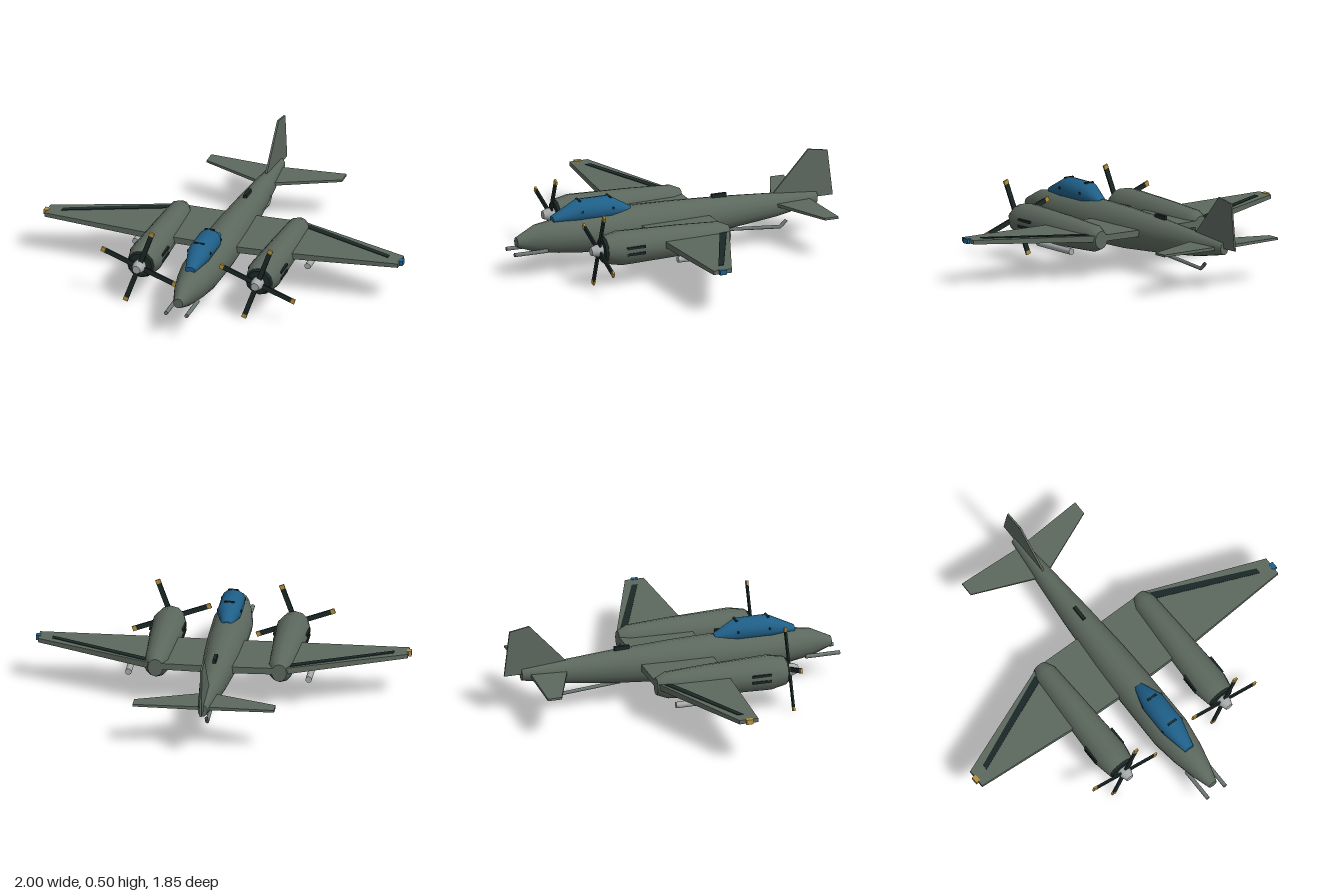
import * as THREE from 'three';

const mat = (name, color) => Object.assign(new THREE.MeshStandardMaterial({ color }), { name });

// Skins a list of rings (counter-clockwise seen from the last ring) and caps both ends.
function loft(rings, flat = false) {
  const n = rings[0].length, pos = [], idx = [];
  rings.forEach(r => r.forEach(p => pos.push(...p)));
  for (let i = 0; i < rings.length - 1; i++)
    for (let j = 0; j < n; j++) {
      const a = i * n + j, b = i * n + (j + 1) % n;
      idx.push(a, b, b + n, a, b + n, a + n);
    }
  [rings[0], rings[rings.length - 1]].forEach((r, end) => {
    const s = pos.length / 3;
    r.forEach(p => pos.push(...p));
    for (let j = 1; j < n - 1; j++) end ? idx.push(s, s + j, s + j + 1) : idx.push(s, s + j + 1, s + j);
  });
  let g = new THREE.BufferGeometry();
  g.setAttribute('position', new THREE.Float32BufferAttribute(pos, 3));
  g.setIndex(idx);
  if (flat) g = g.toNonIndexed();
  g.computeVertexNormals();
  return g;
}

// Oval body along z; each section is [z, bottom, top, halfWidth].
const body = (sections, sides) => loft(sections.map(([z, lo, hi, w]) =>
  Array.from({ length: sides }, (_, k) => {
    const t = (k / sides) * Math.PI * 2 + Math.PI / 2;
    return [Math.cos(t) * w, (lo + hi) / 2 + Math.sin(t) * (hi - lo) / 2, z];
  })));

// Mirrored flat surface; each station is [x, frontZ, backZ, y, halfThickness].
function wingGeometry(half) {
  const all = [...half.slice(1).reverse().map(([x, ...r]) => [-x, ...r]), ...half];
  return loft(all.map(([x, f, b, y, t]) => [[x, y + t, b], [x, y + t, f], [x, y - t, f], [x, y - t, b]]), true);
}

export function createModel() {
  const green = mat('greyGreenPaint', 0x5c685e);
  const blue = mat('blueGlass', 0x1f5f88);
  const dark = mat('darkTrim', 0x1b2826);
  const yellow = mat('yellowTip', 0xb8923a);
  const silver = mat('lightMetal', 0xa6aaaa);
  const steel = mat('dullMetal', 0x6c7672);

  const model = new THREE.Group();
  model.name = 'twinPropellerAircraft';
  const add = (name, geometry, material, x = 0, y = 0, z = 0, parent = model) => {
    const m = new THREE.Mesh(geometry, material);
    m.name = name;
    m.position.set(x, y, z);
    parent.add(m);
    return m;
  };
  const box = (w, h, d) => new THREE.BoxGeometry(w, h, d);
  const rod = (front, back, length, sides = 12) =>
    new THREE.CylinderGeometry(front, back, length, sides).rotateX(Math.PI / 2);

  // Fuselage and canopy
  add('fuselage', body([
    [-0.83, 0.2, 0.265, 0.025], [-0.6, 0.155, 0.285, 0.05], [-0.3, 0.12, 0.305, 0.076],
    [0, 0.095, 0.318, 0.097], [0.2, 0.09, 0.322, 0.104], [0.52, 0.103, 0.315, 0.107],
    [0.66, 0.117, 0.302, 0.087], [0.78, 0.135, 0.285, 0.06], [0.89, 0.175, 0.228, 0.026],
  ], 16), green);
  add('canopy', body([
    [0.24, 0.285, 0.325, 0.025], [0.36, 0.27, 0.396, 0.064],
    [0.54, 0.27, 0.396, 0.064], [0.685, 0.285, 0.32, 0.028],
  ], 14), blue);
  for (const z of [0.36, 0.535]) {
    add('canopyFrameTop', box(0.055, 0.008, 0.012), dark, 0, 0.392, z);
    for (const s of [-1, 1]) add('canopyFrameSide', box(0.008, 0.012, 0.012), dark, s * 0.062, 0.342, z);
  }
  add('dorsalFairing', box(0.018, 0.03, 0.085), dark, 0, 0.309, -0.272);

  // Wings and tail surfaces
  add('wing', wingGeometry([[0, 0.21, -0.187, 0.218, 0.018], [0.35, 0.205, -0.187, 0.223, 0.017],
    [0.985, 0.17, 0.066, 0.242, 0.011]]), green);
  add('tailplane', wingGeometry([[0, -0.57, -0.782, 0.228, 0.009], [0.377, -0.725, -0.802, 0.236, 0.006]]), green);
  const fin = new THREE.Shape([[0.575, 0.275], [0.785, 0.505], [0.895, 0.486], [0.925, 0.235], [0.7, 0.235]]
    .map(([a, b]) => new THREE.Vector2(a, b)));
  add('tailFin', new THREE.ExtrudeGeometry(fin, { depth: 0.01, bevelEnabled: false })
    .translate(0, 0, -0.005).rotateY(Math.PI / 2), green);

  // Tail hook
  const hook = new THREE.CurvePath();
  const hookPoints = [[0.12, -0.28], [0.092, -0.625], [0.125, -0.66]].map(([y, z]) => new THREE.Vector3(0, y, z));
  hook.add(new THREE.LineCurve3(hookPoints[0], hookPoints[1]));
  hook.add(new THREE.LineCurve3(hookPoints[1], hookPoints[2]));
  add('tailHook', new THREE.TubeGeometry(hook, 24, 0.01, 8), steel).material.side = THREE.DoubleSide;

  // Engine nacelle profile, shared by both sides
  const nacelleGeo = body([
    [-0.187, 0.165, 0.262, 0.04], [-0.13, 0.142, 0.288, 0.066], [0.1, 0.128, 0.3, 0.078],
    [0.44, 0.12, 0.309, 0.093], [0.525, 0.138, 0.291, 0.077],
  ], 12);

  for (const s of [-1, 1]) {
    const engine = new THREE.Group();
    engine.name = s > 0 ? 'leftEngine' : 'rightEngine';
    engine.position.x = s * 0.33;
    model.add(engine);
    add('nacelle', nacelleGeo, green, 0, 0, 0, engine);
    add('engineFace', rod(0.066, 0.075, 0.018, 12), dark, 0, 0.2145, 0.529, engine);
    for (const side of [-1, 1]) for (const y of [0.2, 0.234])
      add('exhaustSlot', box(0.02, 0.013, 0.105), dark, side * 0.083, y, 0.375, engine);

    // Propeller
    const prop = new THREE.Group();
    prop.name = 'propeller';
    prop.position.set(0, 0.2145, 0.555);
    engine.add(prop);
    add('hub', rod(0.034, 0.034, 0.03), silver, 0, 0, -0.005, prop);
    add('spinner', rod(0.022, 0.034, 0.035), silver, 0, 0, 0.0275, prop);
    for (let k = 0; k < 4; k++) {
      const blade = new THREE.Group();
      blade.name = 'blade';
      blade.rotation.z = THREE.MathUtils.degToRad(70 + k * 90);
      prop.add(blade);
      add('bladeArm', box(0.18, 0.026, 0.01), dark, 0.11, 0, 0, blade);
      add('bladeTip', box(0.022, 0.027, 0.011), yellow, 0.211, 0, 0, blade);
    }

    // Dark aileron strip lying on the wing's upper skin
    const strip = [[0.385, -0.157, 0.0415], [0.91, 0.08, 0.0313]].map(([x, back, width]) => {
      const y = 0.24 + (x - 0.35) * 0.0205, f = back + width;
      return [[s * x, y + 0.003, back], [s * x, y + 0.003, f], [s * x, y - 0.003, f], [s * x, y - 0.003, back]];
    });
    add('aileronStrip', loft(s > 0 ? strip : strip.reverse(), true), dark);

    // Wing-tip light, underwing tube and nose gun
    add('wingTipLight', box(0.025, 0.026, 0.038), s > 0 ? blue : yellow, s * 0.9875, 0.242, 0.12);
    add('underwingTube', rod(0.017, 0.017, 0.29), silver, s * 0.48, 0.16, 0.02);
    add('noseGun', rod(0.011, 0.011, 0.19, 10), steel, s * 0.057, 0.152, 0.828);
  }
  return model;
}
